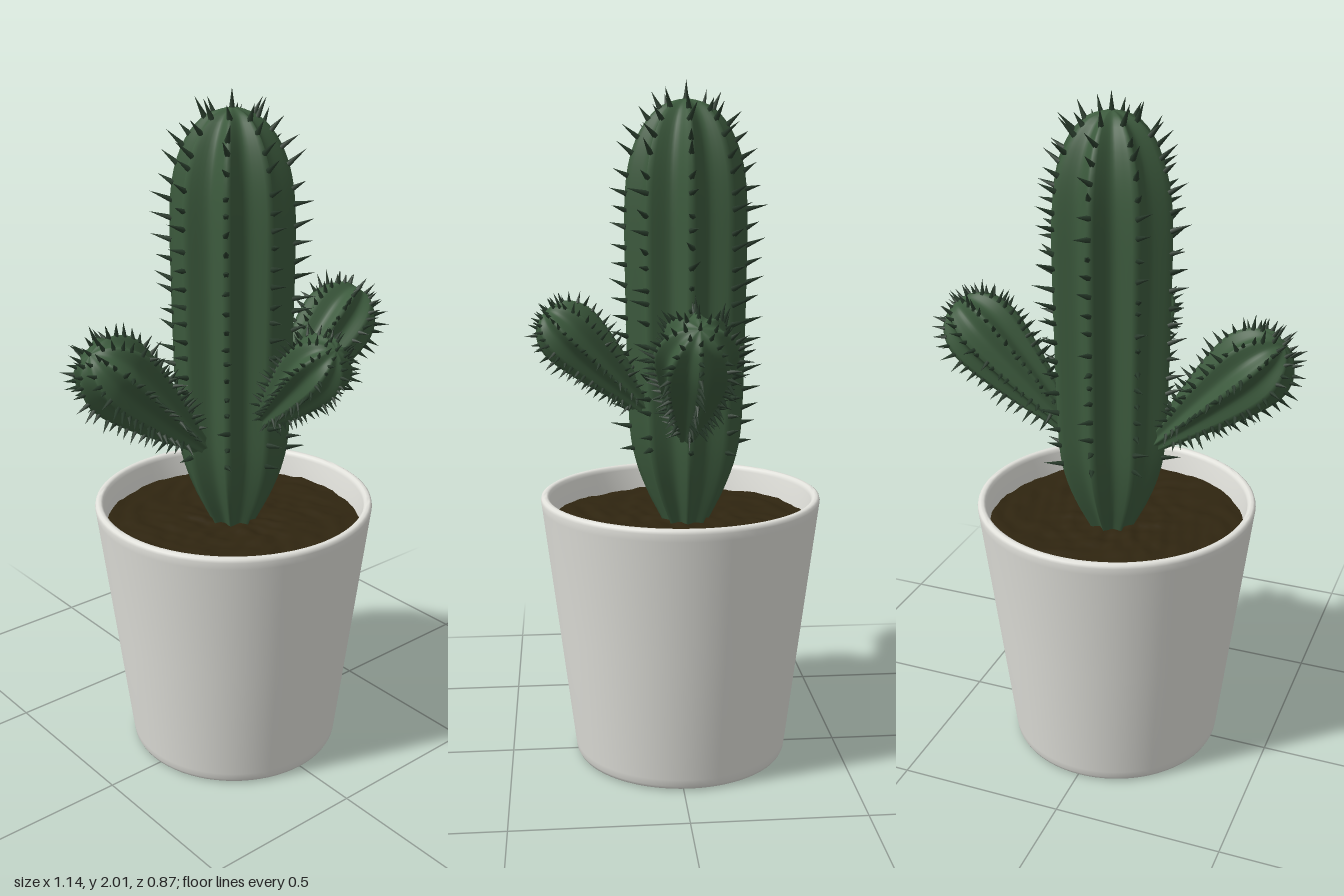
import * as THREE from 'three';
import { mergeGeometries, toCreasedNormals } from 'three/addons/utils/BufferGeometryUtils.js';

const RIBS = 8;
const UP = new THREE.Vector3(0, 1, 0);
const V2 = (pairs) => pairs.map(([x, y]) => new THREE.Vector2(x, y));

function seeded(seed) {
  return () => (seed = (seed * 16807) % 2147483647) / 2147483647;
}

// Closed loops of points stacked into one smooth surface
function skin(rows, segs, pointAt) {
  const pos = [], idx = [];
  for (let i = 0; i <= rows; i++) {
    for (let j = 0; j < segs; j++) pos.push(...pointAt(i / rows, (j / segs) * Math.PI * 2));
  }
  for (let i = 0; i < rows; i++) {
    for (let j = 0; j < segs; j++) {
      const a = i * segs + j, b = i * segs + (j + 1) % segs;
      idx.push(a, b, b + segs, a, b + segs, a + segs);
    }
  }
  const geo = new THREE.BufferGeometry();
  geo.setAttribute('position', new THREE.Float32BufferAttribute(pos, 3));
  geo.setIndex(idx);
  geo.computeVertexNormals();
  return geo;
}

// Ribbed stem: profile radius at the ribs, scalloped hollows between them
function ribbedBody(curve, depth) {
  return skin(56, RIBS * 10, (t, a) => {
    const p = curve.getPointAt(t);
    const ridge = 1 - Math.abs(Math.sin(a * RIBS / 2));
    const r = Math.max(p.x, 0.0005) * (1 - depth + depth * ridge);
    return [Math.sin(a) * r, p.y, Math.cos(a) * r];
  });
}

// Rows of small thorns along every rib, plus one at the crown
function spineRows(curve, { count, length, radius, start, tilt, seed }) {
  const rnd = seeded(seed), parts = [];
  const add = (point, dir, len) => {
    const cone = new THREE.ConeGeometry(radius, len, 5);
    cone.translate(0, len / 2 - 0.006, 0);
    cone.applyQuaternion(new THREE.Quaternion().setFromUnitVectors(UP, dir.normalize()));
    cone.translate(point.x, point.y, point.z);
    parts.push(cone);
  };
  for (let k = 0; k < RIBS; k++) {
    const a = (k / RIBS) * Math.PI * 2;
    for (let i = 0; i < count; i++) {
      const t = start + (0.97 - start) * (i + rnd() * 0.4) / count;
      const p = curve.getPointAt(t), tan = curve.getTangentAt(t);
      const b = a + (rnd() - 0.5) * 0.9;
      const dir = new THREE.Vector3(Math.sin(b) * tan.y, -tan.x + tilt + (rnd() - 0.5) * 0.3, Math.cos(b) * tan.y);
      add(new THREE.Vector3(Math.sin(a) * p.x, p.y, Math.cos(a) * p.x), dir, length * (0.75 + rnd() * 0.45));
    }
  }
  const top = curve.getPointAt(1);
  add(new THREE.Vector3(0, top.y, 0), UP.clone(), length);
  return mergeGeometries(parts);
}

export function createModel() {
  const model = new THREE.Group();
  model.name = 'pottedCactus';

  const potWhite = new THREE.MeshStandardMaterial({ color: 0xe2e2dc });
  potWhite.name = 'potWhite';
  const soilBrown = new THREE.MeshStandardMaterial({ color: 0x2f2510 });
  soilBrown.name = 'soilBrown';
  const cactusGreen = new THREE.MeshStandardMaterial({ color: 0x3c5a3d });
  cactusGreen.name = 'cactusGreen';
  const spineGreen = new THREE.MeshStandardMaterial({ color: 0x273a2a });
  spineGreen.name = 'spineGreen';

  const addMesh = (parent, name, geo, mat) => {
    const mesh = new THREE.Mesh(geo, mat);
    mesh.name = name;
    parent.add(mesh);
    return mesh;
  };

  // Pot: recessed foot, tapered wall, rounded rim and inner wall
  const potProfile = V2([
    [0, 0.025], [0.265, 0.025], [0.278, 0.018], [0.285, 0.004], [0.293, 0], [0.306, 0],
    [0.316, 0.005], [0.321, 0.015], [0.324, 0.035], [0.370, 0.41], [0.415, 0.775], [0.418, 0.797],
    [0.416, 0.806], [0.410, 0.81], [0.401, 0.81], [0.395, 0.806], [0.392, 0.795], [0.380, 0.69],
  ]);
  const pot = addMesh(model, 'pot', toCreasedNormals(new THREE.LatheGeometry(potProfile, 72), 0.9), potWhite);
  pot.position.set(-0.007, 0, -0.018);

  // Soil: lumpy disc just below the rim
  const soil = addMesh(model, 'soil', skin(24, 72, (t, a) => {
    const r = 0.388 * (1 - t) + 0.0005;
    const x = Math.sin(a) * r, z = Math.cos(a) * r;
    const lump = Math.sin(x * 41 + 2 * Math.sin(z * 23)) * Math.sin(z * 37 + 1.5 * Math.sin(x * 29));
    const grain = Math.sin(x * 83 + z * 31) * Math.sin(z * 71 - x * 47);
    return [x, 0.73 + lump * 0.005 + grain * 0.003, z];
  }), soilBrown);
  soil.position.copy(pot.position);

  // Trunk
  const trunkCurve = new THREE.SplineCurve(V2([
    [0.055, 0.70], [0.075, 0.74], [0.115, 0.82], [0.148, 0.91], [0.166, 1.01], [0.173, 1.2], [0.178, 1.5],
    [0.177, 1.68], [0.163, 1.79], [0.130, 1.875], [0.085, 1.93], [0.04, 1.953], [0, 1.96],
  ]));
  const trunk = new THREE.Group();
  trunk.name = 'trunk';
  trunk.position.set(0.003, 0, -0.033);
  addMesh(trunk, 'trunkBody', ribbedBody(trunkCurve, 0.27), cactusGreen);
  addMesh(trunk, 'trunkSpines', spineRows(trunkCurve, {
    count: 20, length: 0.058, radius: 0.009, start: 0.2, tilt: 0.3, seed: 7,
  }), spineGreen);
  model.add(trunk);

  // Club-shaped arms, each aimed from its joint towards its tip
  const armCurve = new THREE.SplineCurve(V2([
    [0.028, -0.03], [0.048, 0.05], [0.076, 0.15], [0.100, 0.25], [0.115, 0.34],
    [0.111, 0.40], [0.085, 0.45], [0.045, 0.477], [0, 0.485],
  ]));
  const arms = [
    { name: 'rightArm', base: [-0.145, 1.025, -0.024], tip: [-0.492, 1.358, -0.024], scale: 1, seed: 11 },
    { name: 'leftArm', base: [0.15, 1.03, -0.024], tip: [0.5, 1.366, -0.022], scale: 1, seed: 23 },
    { name: 'frontArm', base: [0.012, 1.08, 0.09], tip: [0.026, 1.36, 0.37], scale: 0.83, seed: 37 },
  ];
  for (const { name, base, tip, scale, seed } of arms) {
    const arm = new THREE.Group();
    arm.name = name;
    const from = new THREE.Vector3(...base);
    arm.position.copy(from);
    arm.quaternion.setFromUnitVectors(UP, new THREE.Vector3(...tip).sub(from).normalize());
    arm.scale.setScalar(scale);
    addMesh(arm, name + 'Body', ribbedBody(armCurve, 0.25), cactusGreen);
    addMesh(arm, name + 'Spines', spineRows(armCurve, {
      count: 18, length: 0.042, radius: 0.0075, start: 0.12, tilt: 0.15, seed,
    }), spineGreen);
    model.add(arm);
  }

  return model;
}
